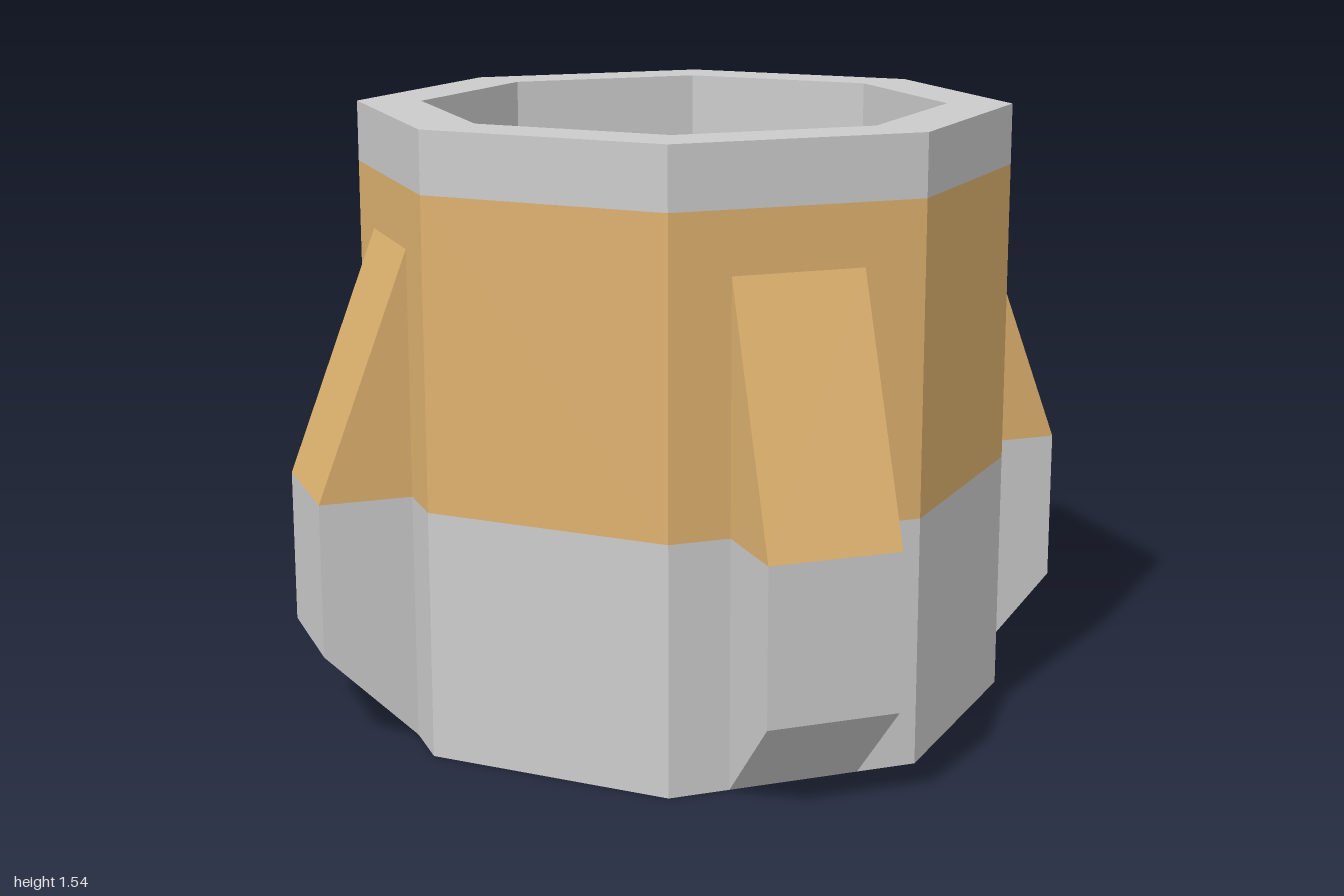
import * as THREE from 'three';

const SIDES = 8;
const OUTER = 0.768, INNER = 0.616;            // flat-to-centre distances of the octagons
const HEIGHT = 1.54, BAND_LOW = 0.62, BAND_HIGH = 1.387;
const FIN_WIDTH = 0.33, FIN_REACH = 1, FIN_CHAMFER = 0.232, FIN_TOP = 1.235;

const grey = new THREE.MeshStandardMaterial({ color: 0xcccccc, flatShading: true });
const orange = new THREE.MeshStandardMaterial({ color: 0xddb16e, flatShading: true });

function makeMesh(name, geometry, material) {
  const mesh = new THREE.Mesh(geometry, material);
  mesh.name = name;
  return mesh;
}

// Octagonal surface from a profile of [flat distance, height] pairs
function octagon(profile) {
  const points = profile.map(([d, y]) => new THREE.Vector2(d / Math.cos(Math.PI / SIDES), y));
  return new THREE.LatheGeometry(points, SIDES, Math.PI / SIDES);
}

// Upright slab from a side profile, centred across its width
function slab(profile) {
  const shape = new THREE.Shape(profile.map(([x, y]) => new THREE.Vector2(x, y)));
  const geometry = new THREE.ExtrudeGeometry(shape, { depth: FIN_WIDTH, bevelEnabled: false });
  return geometry.translate(0, 0, -FIN_WIDTH / 2);
}

export function createModel() {
  const model = new THREE.Group();
  model.name = 'finnedCollar';

  // Hollow octagonal body
  const body = new THREE.Group();
  body.name = 'body';
  body.add(
    makeMesh('lowerWall', octagon([[OUTER, 0], [OUTER, BAND_LOW]]), grey),
    makeMesh('colourBand', octagon([[OUTER, BAND_LOW], [OUTER, BAND_HIGH]]), orange),
    makeMesh('rimAndBore', octagon([[OUTER, BAND_HIGH], [OUTER, HEIGHT], [INNER, HEIGHT], [INNER, 0]]), grey),
    makeMesh('underside', octagon([[INNER, 0], [OUTER, 0]]), orange)
  );
  model.add(body);

  // Four fins, one on each main face
  const finBase = slab([[OUTER, 0], [FIN_REACH, FIN_CHAMFER], [FIN_REACH, BAND_LOW], [OUTER, BAND_LOW]]);
  const finSlope = slab([[OUTER, BAND_LOW], [FIN_REACH, BAND_LOW], [OUTER, FIN_TOP]]);
  ['left', 'back', 'right', 'front'].forEach((side, i) => {
    const fin = new THREE.Group();
    fin.name = side + 'Fin';
    fin.add(makeMesh('finBase', finBase, grey), makeMesh('finSlope', finSlope, orange));
    fin.rotation.y = i * Math.PI / 2;
    model.add(fin);
  });

  return model;
}
